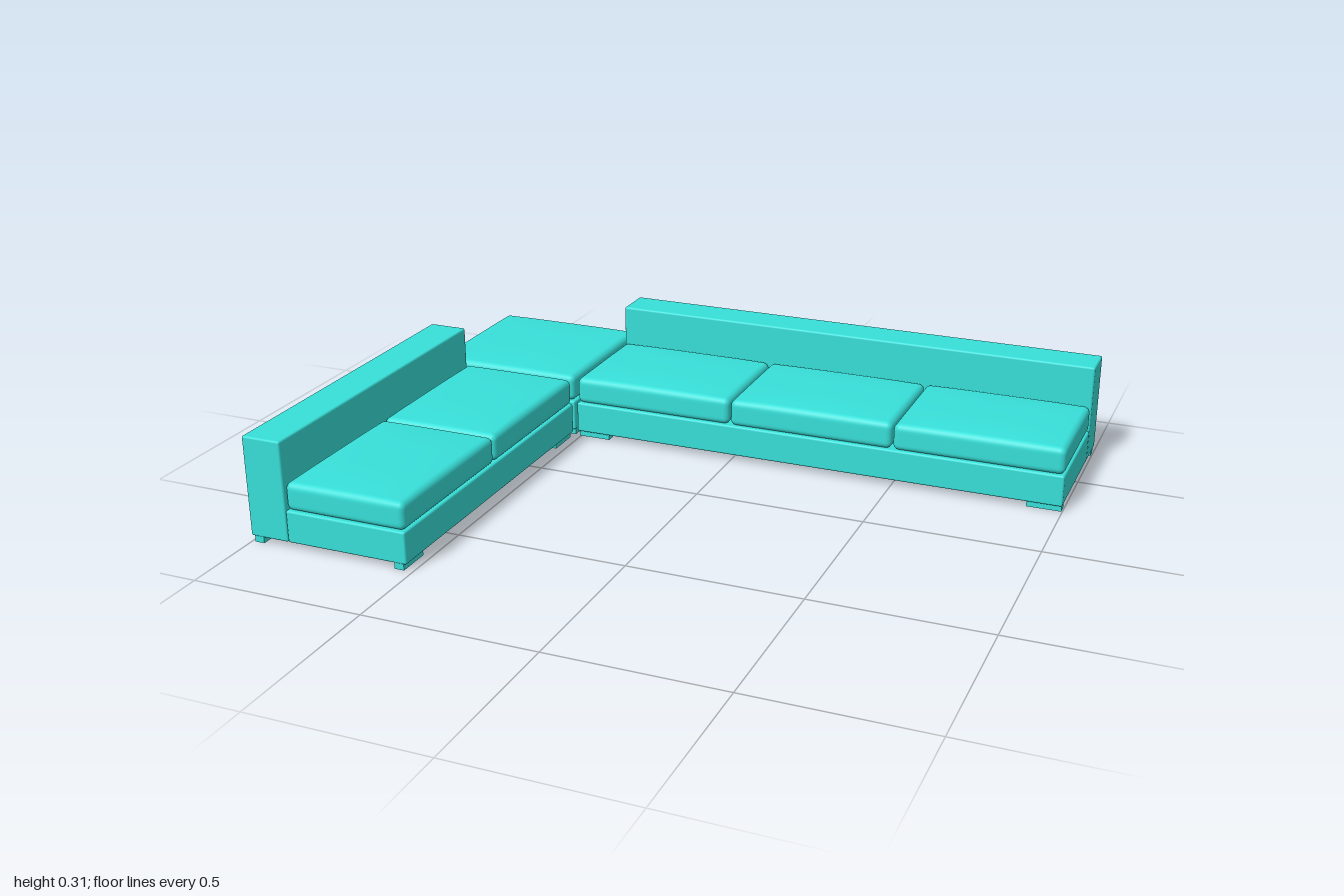
import * as THREE from 'three';
import { mergeVertices } from 'three/addons/utils/BufferGeometryUtils.js';
import { RoundedBoxGeometry } from 'three/addons/geometries/RoundedBoxGeometry.js';

const fabric = new THREE.MeshStandardMaterial({ color: 0x38e0da });
const FLOOR = 0.018, SEAT = 0.112, CUSHION_TOP = 0.192, BACK_TOP = 0.31, BACK_DEPTH = 0.118;

// Mesh spanning the box from (x0,y0,z0) to (x1,y1,z1)
function addPart(group, name, [x0, y0, z0], [x1, y1, z1], makeGeometry) {
  const mesh = new THREE.Mesh(makeGeometry(x1 - x0, y1 - y0, z1 - z0), fabric);
  mesh.name = name;
  mesh.position.set((x0 + x1) / 2, (y0 + y1) / 2, (z0 + z1) / 2);
  group.add(mesh);
}

const panel = (w, h, d) => new RoundedBoxGeometry(w, h, d, 2, 0.006);
const block = (w, h, d) => new THREE.BoxGeometry(w, h, d);

// Soft cushion: a subdivided box with rounded edges and a gently crowned top
function cushion(w, h, d) {
  const N = 14, E = 4, r = 0.018;
  let geo = new THREE.BoxGeometry(1, 1, 1, N, N, N);
  geo.deleteAttribute('uv');
  geo.deleteAttribute('normal');
  geo = mergeVertices(geo);
  const half = new THREE.Vector3(w / 2, h / 2, d / 2);
  const inner = half.clone().subScalar(r);
  const outer = inner.clone().negate();
  // grid lines are gathered near the edges so the rounding is smooth
  const place = (t, s) => {
    const k = Math.round((t + 0.5) * N);
    if (k <= E) return -s + (r * k) / E;
    if (k >= N - E) return s - (r * (N - k)) / E;
    return (s - r) * ((2 * (k - E)) / (N - 2 * E) - 1);
  };
  const pos = geo.attributes.position;
  const p = new THREE.Vector3(), core = new THREE.Vector3();
  for (let i = 0; i < pos.count; i++) {
    p.set(place(pos.getX(i), half.x), place(pos.getY(i), half.y), place(pos.getZ(i), half.z));
    core.copy(p).clamp(outer, inner);
    p.sub(core).setLength(r).add(core);
    if (p.y > 0) {
      const crown = (1 - (p.x / half.x) ** 4) * (1 - (p.z / half.z) ** 4);
      p.y += 0.009 * crown * (p.y / half.y);
    }
    pos.setXYZ(i, p.x, p.y, p.z);
  }
  geo.computeVertexNormals();
  return geo;
}

// One sofa unit facing +z, centred on its own footprint
function sofaUnit(name, length, depth, seats, hasBack) {
  const unit = new THREE.Group();
  unit.name = name;
  const x = length / 2, z = depth / 2;
  const seatBack = hasBack ? -z + BACK_DEPTH : -z;

  addPart(unit, 'base', [-x, FLOOR, seatBack], [x, SEAT, z], panel);
  if (hasBack) addPart(unit, 'backrest', [-x, FLOOR, -z], [x, BACK_TOP, seatBack], panel);

  // Row of seat cushions
  const step = length / seats;
  for (let i = 0; i < seats; i++) {
    const left = -x + i * step;
    addPart(unit, 'seatCushion', [left + 0.002, SEAT, seatBack + 0.002],
      [left + step - 0.002, CUSHION_TOP, z - 0.001], cushion);
  }

  // Low flat feet near the four corners
  for (const sx of [-1, 1]) for (const sz of [-1, 1]) {
    const cx = sx * (x - 0.053), cz = sz * (z - 0.024);
    addPart(unit, 'foot', [cx - 0.05, 0, cz - 0.014], [cx + 0.05, FLOOR + 0.006, cz + 0.014], block);
  }
  return unit;
}

export function createModel() {
  const model = new THREE.Group();
  model.name = 'cornerSofa';

  const longSofa = sofaUnit('threeSeatSofa', 1.508, 0.484, 3, true);
  longSofa.position.set(0.246, 0, -0.507);

  const corner = sofaUnit('cornerSeat', 0.48, 0.475, 1, false);
  corner.position.set(-0.758, 0, -0.507);

  const shortSofa = sofaUnit('twoSeatSofa', 1.002, 0.484, 2, true);
  shortSofa.rotation.y = Math.PI / 2;
  shortSofa.position.set(-0.758, 0, 0.247);

  model.add(longSofa, corner, shortSofa);
  return model;
}
